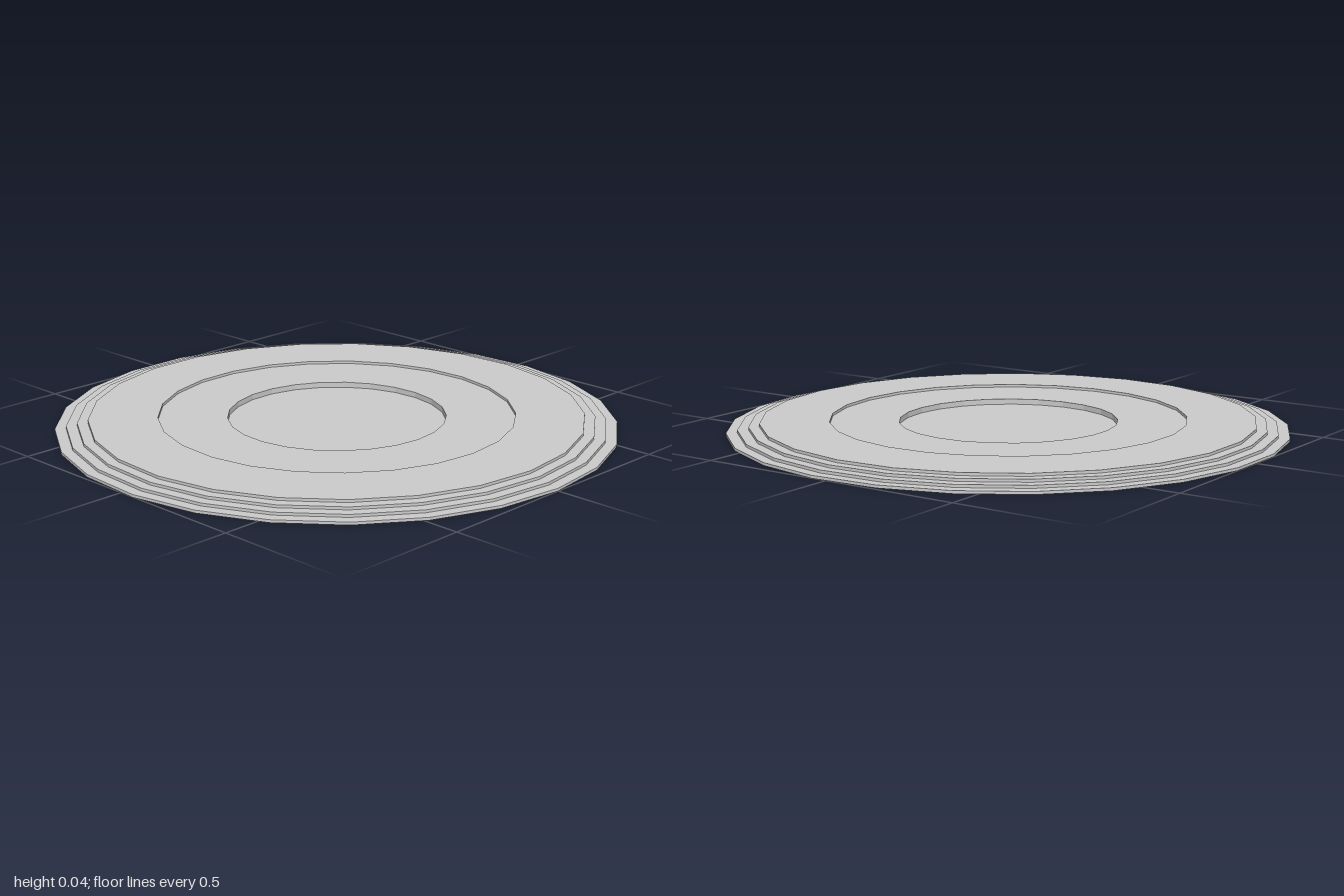
import * as THREE from 'three';

const SIDES = 25;

// Thin stepped sheet turned around y, with one corner pointing along +x.
function turned(name, profile, material) {
  const points = profile.map(([r, y]) => new THREE.Vector2(r, y));
  const geometry = new THREE.LatheGeometry(points, SIDES, Math.PI / 2).toNonIndexed();
  geometry.computeVertexNormals();
  const mesh = new THREE.Mesh(geometry, material);
  mesh.name = name;
  return mesh;
}

export function createModel() {
  const group = new THREE.Group();
  group.name = 'steppedDisc';
  const material = new THREE.MeshStandardMaterial({
    color: 0xcccccc, flatShading: true, side: THREE.DoubleSide,
  });

  // Four equal steps rising from the outer edge
  const rim = [];
  [1.004, 0.964, 0.925, 0.887].forEach((r, i) => {
    rim.push([r, i * 0.01], [r, (i + 1) * 0.01]);
  });
  group.add(turned('steppedRim', rim, material));

  // Flat band, then a shallow drop to the inner band
  group.add(turned('upperBand', [[0.887, 0.04], [0.64, 0.04], [0.64, 0.03]], material));

  // Inner band and the deeper drop to the centre
  group.add(turned('innerBand', [[0.64, 0.03], [0.392, 0.03], [0.392, 0.01]], material));

  // Sunken centre
  group.add(turned('centreFloor', [[0.392, 0.01], [0, 0.01]], material));

  // An odd number of sides reaches less far along -x, so shift to centre it
  group.children.forEach((part) => { part.position.x = -0.004; });
  return group;
}
